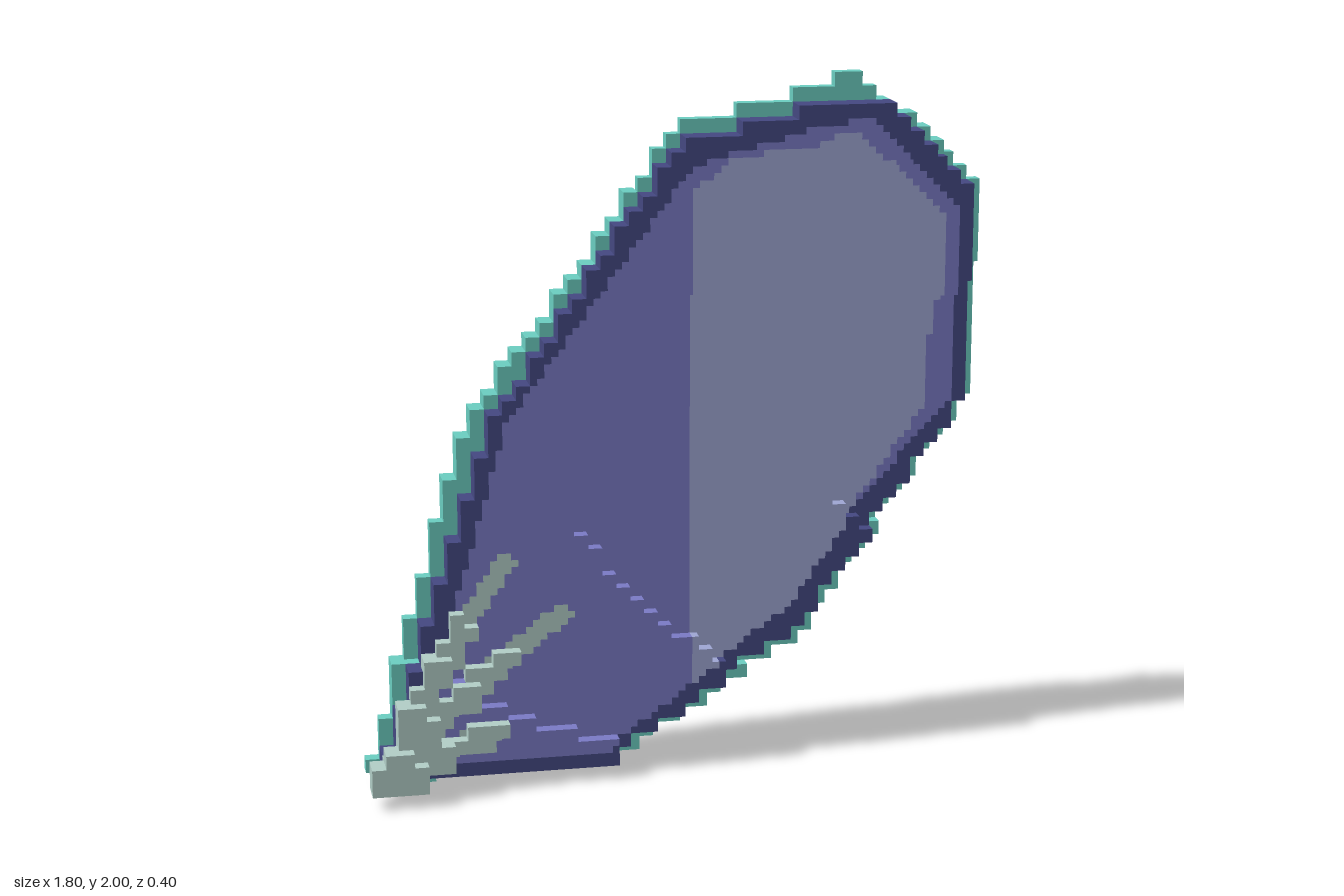
import * as THREE from 'three';

// Voxel shield: 0.04 cells for the shape, 0.02 pixels for the painted borders.
const CELL = 0.04, PIX = 0.02, NX = 90, NY = 100;

const mat = (name, color) => Object.assign(new THREE.MeshStandardMaterial({ color }), { name });

// Outlines in the front plane
const OUTER = [[-0.89, 0.03], [-0.86, 0.03], [-0.86, 0], [-0.82, 0], [-0.82, 0.03], [-0.74, 0.03], [-0.74, 0], [-0.7, 0], [-0.7, 0.03],
  [-0.17, 0.03], [0.38, 0.35], [0.9, 1.06], [0.9, 1.67], [0.64, 1.9], [0.53, 2.0], [0.38, 1.95], [0, 1.85],
  [-0.24, 1.49], [-0.58, 1.06], [-0.75, 0.52], [-0.87, 0.1], [-0.89, 0.08]];
const FRONT = [[-0.86, 0.04], [-0.22, 0.04], [0.36, 0.4], [0.86, 1.05], [0.88, 1.63], [0.6, 1.92], [0.4, 1.92],
  [0, 1.81], [-0.53, 1.05], [-0.75, 0.4], [-0.84, 0.12]];
const INNER = [[-0.75, 0.09], [-0.2, 0.09], [0.1, 0.3], [0.34, 0.47], [0.5, 0.7], [0.82, 1.06], [0.82, 1.6], [0.56, 1.88],
  [0.4, 1.86], [0.04, 1.76], [-0.49, 1.05], [-0.68, 0.4]];
const LIGHT = [[0.04, 0.2], [0.1, 0.3], [0.34, 0.47], [0.5, 0.7], [0.74, 1.04], [0.74, 1.2], [0.78, 1.38], [0.78, 1.6],
  [0.5, 1.85], [0.4, 1.81], [0.16, 1.78], [0.04, 1.69]];
// Areas where the front steps backward or forward to bow the shield
const MID = [[0.65, 1.75], [0, 1.38], [-0.31, 1.05], [-0.31, 0.75], [-0.1, 0.5], [0.14, 0.3], [0.6, 0.2], [1.2, 0.8], [1.2, 1.75]];
const FAR = [[0.95, 1.46], [0.8, 1.38], [0.6, 1.22], [0.47, 1.05], [0.47, 0.75], [0.6, 0.66], [1.1, 0.9]];
const NEAR = [[-1, 0.42], [-0.74, 0.37], [-0.55, 0.24], [-0.4, 0.16], [-0.2, 0.12], [-0.1, -0.1], [-1, -0.1]];
// Areas where the back steps outward
const BACK_MID = [[-0.23, 0.27], [-0.56, 0.5], [-0.66, 0.6], [-0.66, 1.2], [-0.1, 1.8], [-0.1, 1.65], [0.5, 1.83], [0.62, 1.95],
  [1.2, 1.9], [1.2, 0], [-0.04, 0.1]];
const BACK_FAR = [[1, 1.69], [0.82, 1.57], [0.47, 1.4], [0.2, 1.22], [0.12, 1], [0.12, 0.72], [0.27, 0.47], [0.1, 0.25],
  [0.2, 0.1], [1, 0.6]];
// Claw base and claws (start, tip)
const CLAW_BASE = [[-0.9, 0.04], [-0.79, 0.04], [-0.69, 0.1], [-0.68, 0.26], [-0.75, 0.3], [-0.82, 0.24], [-0.86, 0.12], [-0.9, 0.12]];
const CLAWS = [[-0.8, 0.2, -0.5, 0.65], [-0.8, 0.15, -0.34, 0.49], [-0.8, 0.08, -0.53, 0.18]];

function inside(poly, x, y) {
  let hit = false;
  for (let a = 0, b = poly.length - 1; a < poly.length; b = a++) {
    const [xa, ya] = poly[a], [xb, yb] = poly[b];
    if ((ya > y) !== (yb > y) && x < (xb - xa) * (y - ya) / (yb - ya) + xa) hit = !hit;
  }
  return hit;
}
function near(x, y, [x0, y0, x1, y1], r) {
  const dx = x1 - x0, dy = y1 - y0;
  const t = Math.min(1, Math.max(0, ((x - x0) * dx + (y - y0) * dy) / (dx * dx + dy * dy)));
  return Math.hypot(x - x0 - t * dx, y - y0 - t * dy) < r;
}
const box = (x, y, x0, x1, y0, y1) => x > x0 && x < x1 && y > y0 && y < y1;
const diamond = (x, y) => Math.abs(x - 0.22) / 0.25 + Math.abs(y - 1.08) / 0.26;
const isClaw = (x, y, r) => inside(CLAW_BASE, x, y) || CLAWS.some((c) => near(x, y, c, r));

// Front and back surface levels, in cells
const frontLevel = (x, y) => inside(FAR, x, y) ? -1 : inside(MID, x, y) ? 0 : inside(NEAR, x, y) ? 2 : 1;
function backLevel(x, y) {
  if (box(x, y, 0.75, 0.86, 0.96, 1.38)) return -5;
  if (inside(BACK_FAR, x, y)) return -4;
  if (inside(BACK_MID, x, y)) return -3;
  return x < -0.82 || y < 0.04 ? -1 : -2;
}

// Height of the claws in cells, falling away from the corner
function clawTop(x, y) {
  const d = Math.hypot(x + 0.88, y - 0.06);
  return d < 0.14 ? 5 : d < 0.25 ? 4 : d < 0.38 ? 3 : d < 0.52 ? 2 : -9;
}

// Level that the raised fittings on the back reach
function fittingLevel(x, y) {
  const d = diamond(x, y);
  if (d < 1.02) return d > 0.84 ? -5 : -4;
  if (box(x, y, 0.4, 0.48, 1.36, 1.44) || box(x, y, -0.12, -0.04, 0.76, 0.84)) return -5;
  if (box(x, y, -0.16, 0.04, 0.72, 0.84) || near(x, y, [0.28, 0.45, -0.2, 0.25], 0.028)) return -4;
  return 0;
}
// Flat painted marks on the back
function backMark(x, y) {
  if (near(x, y, [-0.04, 0.74, -0.09, 0.6], 0.03)) return true;
  if (near(x, y, [-0.2, 0.25, -0.34, 0.2], 0.028)) return true;
  for (let n = 0; n < 6; n++) if (Math.hypot(x - 0.69 + n * 0.04, y - 1.45 + n * 0.048) < 0.017) return true;
  return false;
}

// Cells of one column as a map from z cell to part name
function column(i, j) {
  const x = -0.9 + (i + 0.5) * PIX, y = (j + 0.5) * PIX;
  const cx = -0.9 + (Math.floor(i / 2) + 0.5) * CELL, cy = (Math.floor(j / 2) + 0.5) * CELL;
  const s = frontLevel(cx, cy), back = Math.min(backLevel(cx, cy), s - 3), cells = {};
  const front = inside(FRONT, cx, cy), painted = inside(INNER, x, y);
  const panel = inside(LIGHT, x, y) ? 'lightPanel' : 'darkPanel';
  if (front || inside(OUTER, cx, cy)) {
    for (let c = back; c < s - 2; c++) cells[c] = painted ? panel : 'backRim';
  }
  if (front) {
    for (const c of [s - 2, s - 1]) cells[c] = painted ? panel : 'frontRim';
    if (backMark(x, y)) cells[back] = 'backFittings';
    // Grip plate in its raised frame, and the small fittings
    const fit = fittingLevel(cx, cy), grip = diamond(x, y) < 0.74;
    for (let c = fit; c < back; c++) cells[c] = grip ? 'gripPanel' : 'backFittings';
    if (grip) cells[Math.min(back, fit)] = 'gripPanel';
    else if (diamond(x, y) < 0.9) cells[Math.min(back, fit)] = 'backFittings';
  }
  // Claws: raised near the corner, flat at the tips
  const top = clawTop(cx, cy);
  if (top > s && isClaw(cx, cy, 0.035)) {
    for (let c = front ? s : Math.max(top - 2, s); c < top; c++) cells[c] = 'claws';
  } else if (front && isClaw(x, y, 0.03)) cells[s - 1] = 'claws';
  return cells;
}

// Face directions with two in-plane axes (u x v = outward normal)
const DIRS = [
  [[1, 0, 0], [0, 1, 0], [0, 0, 1]], [[-1, 0, 0], [0, 0, 1], [0, 1, 0]],
  [[0, 1, 0], [0, 0, 1], [1, 0, 0]], [[0, -1, 0], [1, 0, 0], [0, 0, 1]],
  [[0, 0, 1], [1, 0, 0], [0, 1, 0]], [[0, 0, -1], [0, 1, 0], [1, 0, 0]],
];

export function createModel() {
  const navy = mat('navy', 0x454983), teal = mat('teal', 0x6cd0c3), purple = mat('purple', 0x7c7cc8);
  const lilac = mat('lilac', 0xa0a8d6), grey = mat('greenGrey', 0xb4d0c9);
  const materials = { frontRim: navy, backRim: teal, darkPanel: purple, lightPanel: lilac, claws: grey, backFittings: grey, gripPanel: teal };

  const grid = [];
  for (let i = 0; i < NX; i++) {
    grid.push([]);
    for (let j = 0; j < NY; j++) grid[i].push(column(i, j));
  }
  const at = (i, j, c) => grid[i]?.[j]?.[c];

  // Emit only the exposed cell faces, sorted by part
  const parts = Object.fromEntries(Object.keys(materials).map((k) => [k, { pos: [], nor: [] }]));
  const size = [PIX, PIX, CELL];
  for (let i = 0; i < NX; i++) for (let j = 0; j < NY; j++) {
    for (const [key, part] of Object.entries(grid[i][j])) {
      const c = Number(key), mid = [-0.9 + (i + 0.5) * PIX, (j + 0.5) * PIX, (c + 0.5) * CELL];
      for (const [n, u, v] of DIRS) {
        if (at(i + n[0], j + n[1], c + n[2])) continue;
        for (const [a, b] of [[-1, -1], [1, -1], [1, 1], [-1, -1], [1, 1], [-1, 1]]) {
          for (let k = 0; k < 3; k++) parts[part].pos.push(mid[k] + (n[k] + a * u[k] + b * v[k]) * size[k] / 2);
          parts[part].nor.push(...n);
        }
      }
    }
  }

  const group = new THREE.Group();
  group.name = 'shield';
  for (const [name, { pos, nor }] of Object.entries(parts)) {
    const geo = new THREE.BufferGeometry();
    geo.setAttribute('position', new THREE.Float32BufferAttribute(pos, 3));
    geo.setAttribute('normal', new THREE.Float32BufferAttribute(nor, 3));
    const mesh = new THREE.Mesh(geo, materials[name]);
    mesh.name = name;
    group.add(mesh);
  }
  return group;
}
